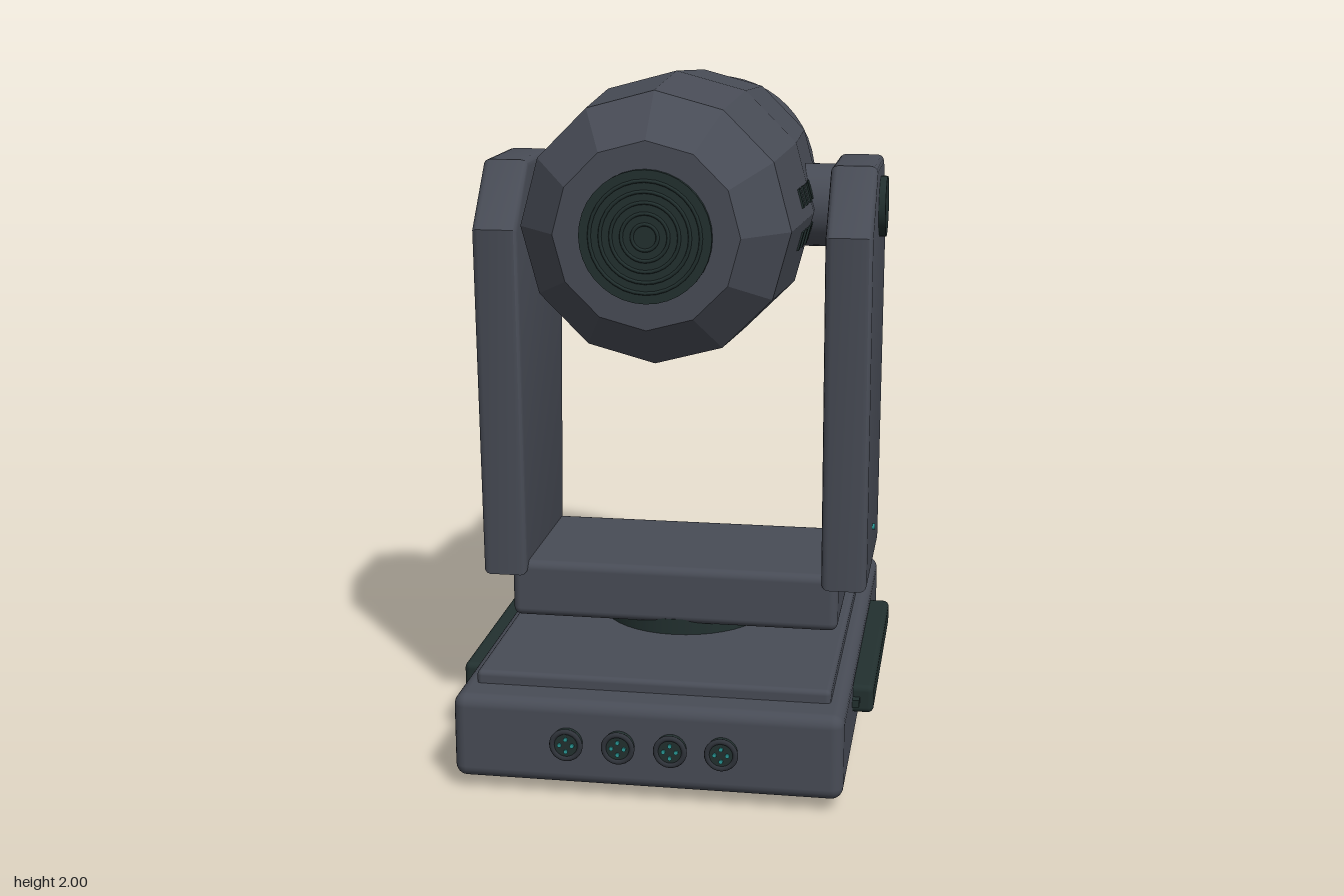
import * as THREE from 'three';
import { toCreasedNormals } from 'three/addons/utils/BufferGeometryUtils.js';
import { RoundedBoxGeometry } from 'three/addons/geometries/RoundedBoxGeometry.js';

const paint = (name, color) => {
  const m = new THREE.MeshStandardMaterial({ color });
  m.name = name;
  return m;
};

export function createModel() {
  const housing = paint('housing grey', 0x484c56);
  const trim = paint('dark trim', 0x22302f);
  const bezel = paint('bezel grey', 0x2f333a);
  const glass = paint('teal glass', 0x306c7a);
  const light = paint('indicator teal', 0x2a9a98);

  const model = new THREE.Group();
  model.name = 'movingHeadLight';
  const add = (parent, name, geometry, material, x = 0, y = 0, z = 0) => {
    const mesh = new THREE.Mesh(geometry, material);
    mesh.name = name;
    mesh.position.set(x, y, z);
    parent.add(mesh);
    return mesh;
  };
  const group = (name, y = 0) => {
    const g = new THREE.Group();
    g.name = name;
    g.position.y = y;
    model.add(g);
    return g;
  };
  const rounded = (w, h, d, r) => new RoundedBoxGeometry(w, h, d, 3, r);
  const discZ = (r, depth, n = 32) => new THREE.CylinderGeometry(r, r, depth, n).rotateX(Math.PI / 2);
  const discX = (r, depth, n = 32) => new THREE.CylinderGeometry(r, r, depth, n).rotateZ(Math.PI / 2);

  // Base with raised top plate, feet and side handles
  const base = group('base');
  add(base, 'baseBox', rounded(1.11, 0.25, 1.47, 0.035), housing, 0, 0.16, 0);
  add(base, 'topPlate', rounded(1.02, 0.08, 1.26, 0.015), housing, 0, 0.282, 0);
  for (const sx of [-1, 1]) {
    for (const z of [-0.505, 0.505]) {
      add(base, 'foot', new THREE.CylinderGeometry(0.055, 0.05, 0.045, 20), trim, sx * 0.43, 0.0225, z);
    }
    add(base, 'handle', rounded(0.08, 0.085, 0.775, 0.018), trim, sx * 0.575, 0.202, -0.003);
    add(base, 'handlePin', new THREE.BoxGeometry(0.025, 0.022, 0.04), trim, sx * 0.563, 0.2, 0.392);
  }

  // Sockets on the front
  for (const x of [-0.222, -0.074, 0.074, 0.218]) {
    const socket = new THREE.Group();
    socket.name = 'socket';
    socket.position.set(x, 0.165, 0.735);
    base.add(socket);
    add(socket, 'socketBody', discZ(0.044, 0.04), trim, 0, 0, 0.002);
    add(socket, 'socketRim', new THREE.TorusGeometry(0.04, 0.008, 8, 28), bezel, 0, 0, 0.02);
    for (let i = 0; i < 4; i++) {
      const a = (i * Math.PI) / 2;
      add(socket, 'pin', discZ(0.006, 0.006, 10), light, 0.018 * Math.cos(a), 0.018 * Math.sin(a), 0.024);
    }
  }

  // Control panel on the back
  add(base, 'controlPanel', rounded(0.52, 0.165, 0.04, 0.01), trim, 0, 0.172, -0.74);
  add(base, 'screen', new THREE.BoxGeometry(0.215, 0.105, 0.009), glass, -0.085, 0.17, -0.764);
  for (let i = 0; i < 4; i++) {
    add(base, 'button', discZ(0.013, 0.012, 14), bezel, 0.07 + i * 0.043, 0.18, -0.763);
  }

  // Turntable and yoke
  const yoke = group('yoke');
  add(yoke, 'turntable', new THREE.CylinderGeometry(0.25, 0.25, 0.06, 40), trim, 0, 0.34, 0);
  add(yoke, 'yokeBase', rounded(0.99, 0.175, 0.5, 0.025), housing, 0, 0.4425, 0);

  const profile = new THREE.Shape(
    [[-0.26, 0.49], [0.26, 0.49], [0.31, 1.55], [0.15, 1.735], [-0.15, 1.735], [-0.31, 1.55]]
      .map(([z, y]) => new THREE.Vector2(z, y)));
  const armGeometry = toCreasedNormals(new THREE.ExtrudeGeometry(profile, {
    depth: 0.095, bevelEnabled: true, bevelSize: 0.02, bevelThickness: 0.02, bevelOffset: -0.02, bevelSegments: 3,
  }).translate(0, 0, -0.0475).rotateY(Math.PI / 2), 0.6);
  for (const sx of [-1, 1]) {
    add(yoke, 'arm', armGeometry, housing, sx * 0.5125, 0, 0.005);
    add(yoke, 'hubCap', discX(0.089, 0.04), trim, sx * 0.58, 1.6, 0);
    add(yoke, 'axle', discX(0.122, 0.16), housing, sx * 0.39, 1.6, 0);
    add(yoke, 'indicator', discX(0.009, 0.02, 12), light, sx * 0.578, 0.625, 0.035);
  }

  // Faceted twelve-sided head, lying along z
  const head = group('head', 1.6);
  const shell = new THREE.LatheGeometry(
    [[0, -0.51], [0.325, -0.51], [0.365, -0.37], [0.4, 0.17], [0.375, 0.545], [0.255, 0.685], [0, 0.685]]
      .map(([r, z]) => new THREE.Vector2(r, z)), 12).rotateX(Math.PI / 2).toNonIndexed();
  shell.computeVertexNormals();
  add(head, 'headShell', shell, housing);

  // Round grille on the tail
  add(head, 'grille', discZ(0.18, 0.03, 36), trim, 0, 0, 0.685);
  for (let i = 0; i < 5; i++) {
    add(head, 'grilleRing', new THREE.TorusGeometry(0.035 + i * 0.029, 0.005, 6, 32), trim, 0, 0, 0.7);
  }

  // Lens barrel, open recess, and lens with its ring
  const barrel = new THREE.LatheGeometry(
    [[0.322, -0.5], [0.322, -0.69], [0.295, -0.69], [0.295, -0.67], [0, -0.67]]
      .reverse().map(([r, z]) => new THREE.Vector2(r, z)), 48).rotateX(Math.PI / 2);
  add(head, 'lensBarrel', toCreasedNormals(barrel, 0.6), housing);
  add(head, 'barrelRing', new THREE.TorusGeometry(0.283, 0.012, 8, 48), trim, 0, 0, -0.688);
  add(head, 'lensSeat', discZ(0.275, 0.03, 48), bezel, 0, 0, -0.68);
  add(head, 'lensRing', new THREE.TorusGeometry(0.243, 0.013, 8, 48), trim, 0, 0, -0.732);
  add(head, 'lens', discZ(0.238, 0.016, 48), glass, 0, 0, -0.733);

  // Two rows of cooling slots on each flank, following the facets
  for (const sx of [-1, 1]) {
    for (const sy of [-1, 1]) {
      for (let i = 0; i < 8; i++) {
        const z = 0.307 - i * 0.0605;
        const r = z > 0.17 ? 0.4 - (z - 0.17) * 0.067 : 0.4 - (0.17 - z) * 0.065;
        const slot = add(head, 'coolingSlot', new THREE.BoxGeometry(0.009, 0.055, 0.034), trim,
          sx * (r - 0.268 * 0.06), sy * 0.06, z);
        slot.rotation.z = sx * sy * Math.PI / 12;
        slot.rotation.y = 0;
      }
    }
  }
  return model;
}
